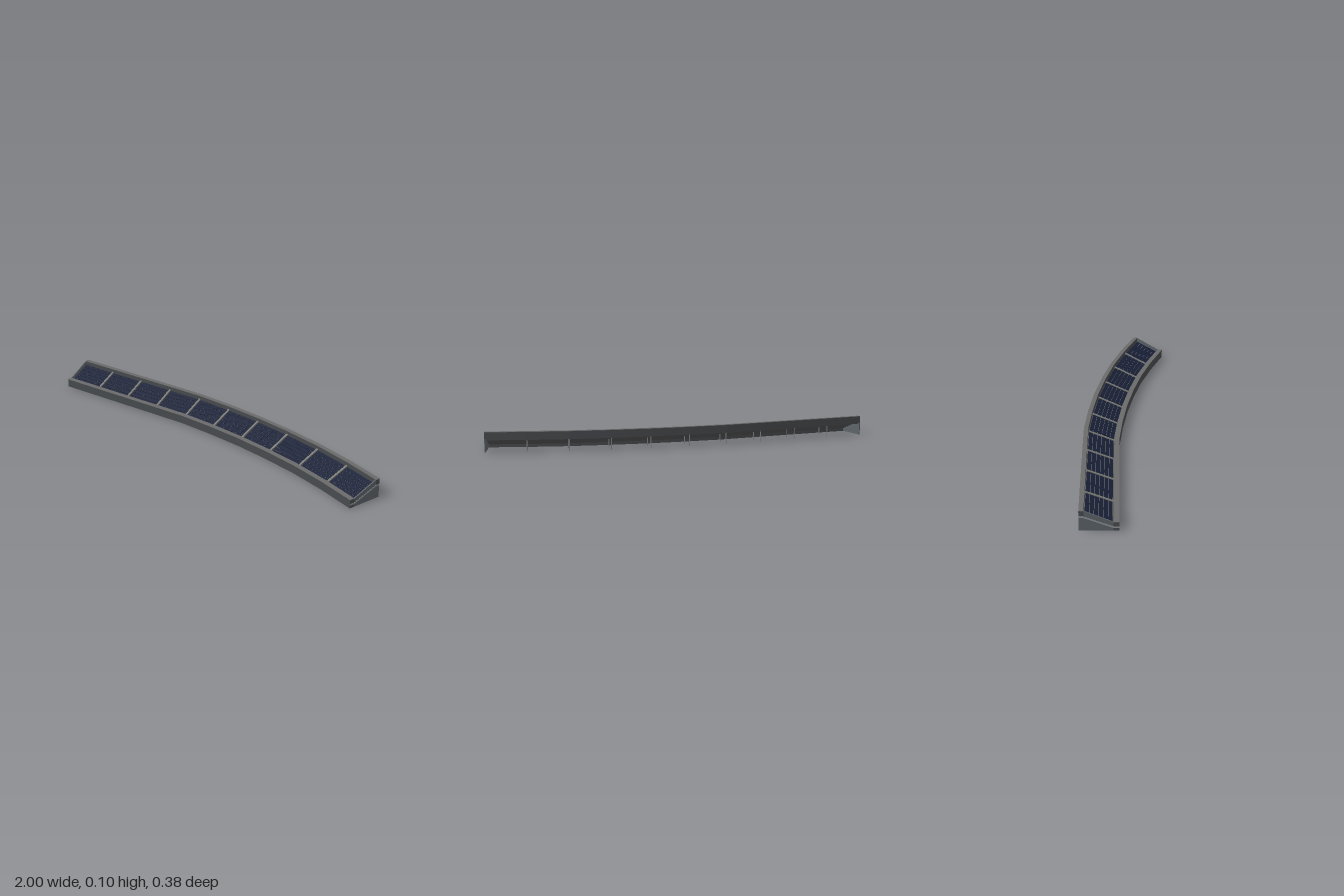
import * as THREE from 'three';
import { mergeGeometries } from 'three/addons/utils/BufferGeometryUtils.js';

const mat = (name, color) => new THREE.MeshStandardMaterial({ name, color });

// Rear edge of the canopy: eleven stations, ten modules
const REAR = [[-1, -0.155], [-0.8, -0.164], [-0.6, -0.173], [-0.4, -0.182], [-0.2, -0.19], [0, -0.182],
  [0.2, -0.165], [0.4, -0.137], [0.605, -0.098], [0.805, -0.045], [1, 0.018]];
const MODULES = 10, WIDTH = 0.178;
const FRONT_DEPTH = 0.026, REAR_DEPTH = 0.022;
const STATIONS = REAR.map((_, i) => i);

// Forward-pointing normal at each station
const NORMAL = REAR.map((_, i) => {
  const a = REAR[Math.max(i - 1, 0)], b = REAR[Math.min(i + 1, MODULES)];
  const dx = b[0] - a[0], dz = b[1] - a[1], l = Math.hypot(dx, dz);
  return [-dz / l, dx / l];
});

// Point at station s, distance u forward of the rear edge, height y
function at(s, u, y) {
  const i = Math.min(Math.max(Math.floor(s), 0), MODULES - 1), t = s - i;
  const p = (k, c) => REAR[k][c] + NORMAL[k][c] * u;
  const mix = c => p(i, c) * (1 - t) + p(i + 1, c) * t;
  return [mix(0), y, mix(1)];
}

// Sweeps a counter-clockwise (u, y) profile through the stations, with end caps
function sweep(profile, stations) {
  const v = [], n = profile.length, last = stations.length - 1;
  const rings = stations.map(s => profile.map(([u, y]) => at(s, u, y)));
  for (let k = 0; k < last; k++) {
    for (let j = 0; j < n; j++) {
      const m = (j + 1) % n, a = rings[k], b = rings[k + 1];
      v.push(...a[j], ...b[j], ...b[m], ...a[j], ...b[m], ...a[m]);
    }
  }
  const pts = profile.map(p => new THREE.Vector2(...p));
  for (const [a, b, c] of THREE.ShapeUtils.triangulateShape(pts, [])) {
    v.push(...rings[0][a], ...rings[0][b], ...rings[0][c]);
    v.push(...rings[last][a], ...rings[last][c], ...rings[last][b]);
  }
  const g = new THREE.BufferGeometry();
  g.setAttribute('position', new THREE.Float32BufferAttribute(v, 3));
  g.computeVertexNormals();
  return g;
}

const rect = (u0, u1, y0, y1) => [[u0, y0], [u1, y0], [u1, y1], [u0, y1]];

// Height of the roof slab top at distance u
const INNER = WIDTH - FRONT_DEPTH;
const slope = u => 0.072 - (u - REAR_DEPTH) * 0.05 / (INNER - REAR_DEPTH);
const sloped = (u0, u1, lo, hi) =>
  [[u0, slope(u0) + lo], [u1, slope(u1) + lo], [u1, slope(u1) + hi], [u0, slope(u0) + hi]];

export function createModel() {
  const group = new THREE.Group();
  const dark = mat('dark cladding', 0x484b4e);
  const coping = mat('coping grey', 0x6a6a6a);
  const wall = mat('end wall grey', 0x5c6368);
  const soffit = mat('roof grey', 0x555555);
  const trim = mat('light trim', 0x8f9496);
  const frame = mat('frame grey', 0x7d7d78);
  const cell = mat('solar navy', 0x1a2138);
  const steel = mat('post steel', 0x7c7f82);

  const add = (name, geos, material) => {
    const mesh = new THREE.Mesh(geos.length > 1 ? mergeGeometries(geos) : geos[0], material);
    mesh.name = name;
    group.add(mesh);
  };

  // Long members
  add('frontWall', [sweep(rect(INNER, WIDTH, 0, 0.043), STATIONS)], dark);
  add('rearParapet', [sweep(rect(0, REAR_DEPTH, 0.066, 0.098), STATIONS)], dark);
  add('copings', [
    sweep(rect(INNER, WIDTH, 0.043, 0.045), STATIONS),
    sweep(rect(0, REAR_DEPTH, 0.098, 0.1), STATIONS),
  ], coping);
  const inside = STATIONS.map(s => Math.min(Math.max(s, 0.03), MODULES - 0.03));
  add('roofSlab', [sweep(sloped(REAR_DEPTH - 0.006, INNER + 0.002, -0.007, 0), inside)], soffit);
  add('rearBeam', [sweep(rect(0.007, 0.018, 0.058, 0.066), inside)], dark);

  // End walls, with a light band following the roof line
  const wallProfile = [[0, 0], [INNER, 0], [INNER, 0.044], [REAR_DEPTH, 0.1], [REAR_DEPTH, 0.066], [0, 0.066]];
  const band = [[0, 0.065], [REAR_DEPTH, 0.065], [INNER, 0.015], [WIDTH, 0.015],
    [WIDTH, 0.022], [INNER, 0.022], [REAR_DEPTH, 0.072], [0, 0.072]];
  add('endWalls', [sweep(wallProfile, [0, 0.03]), sweep(wallProfile, [MODULES - 0.03, MODULES])], wall);
  add('endBands', [sweep(band, [-0.006, 0]), sweep(band, [MODULES, MODULES + 0.006])], trim);

  // Solar panels: rows of cells on a mounting frame
  const rows = 6, cols = 10, u0 = REAR_DEPTH + 0.003, u1 = INNER - 0.003;
  const cells = [], mounts = [];
  for (let m = 0; m < MODULES; m++) {
    mounts.push(sweep(sloped(u0, u1, 0.001, 0.006), [m + 0.04, m + 0.96]));
    for (let r = 0; r < rows; r++) {
      const d = (u1 - u0) / rows, a = u0 + r * d;
      const profile = sloped(a + 0.001, a + d - 0.001, 0.005, 0.008);
      for (let c = 0; c < cols; c++) {
        const w = 0.92 / cols, s = m + 0.04 + c * w;
        cells.push(sweep(profile, [s + 0.002, s + w - 0.002]));
      }
    }
  }
  add('panelFrames', mounts, frame);
  add('solarCells', cells, cell);

  // Ribs between modules
  const ribs = [], posts = [];
  for (let s = 1; s < MODULES; s++) {
    ribs.push(sweep(sloped(REAR_DEPTH, INNER, 0, 0.011), [s - 0.025, s, s + 0.025]));
    // Tall rear post and shorter middle post
    for (const [u, h] of [[0.0125, 0.064], [0.09, slope(0.09) - 0.003]]) {
      const post = new THREE.CylinderGeometry(0.0025, 0.0025, h, 10);
      const [x, , z] = at(s, u, 0);
      posts.push(post.translate(x, h / 2, z));
    }
  }
  add('roofRibs', ribs, frame);
  add('posts', posts, steel);

  return group;
}
